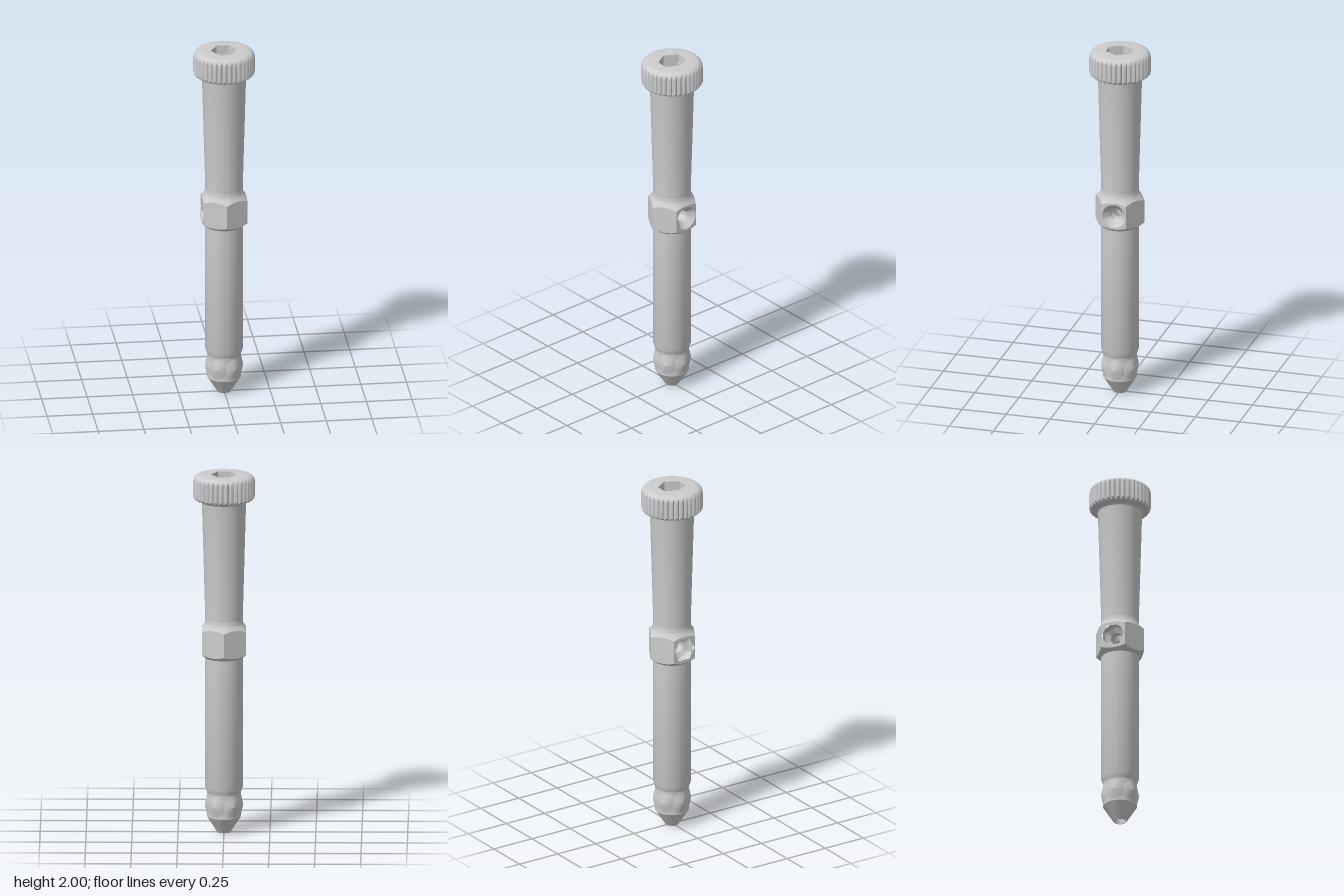
import * as THREE from 'three';
import { toCreasedNormals } from 'three/addons/utils/BufferGeometryUtils.js';

const N = 144; // samples around every ring
const BORE = 0.033, HOLE_Y = 1.07, TEETH = 36;
const APOTHEM = 0.12, COLLAR_HALF = 0.065, COLLAR_ARC = 0.012;

// Angle from the middle of the nearest of six flats
const fromFlat = (a, off) => {
  const s = Math.PI / 3;
  return a - off - Math.round((a - off) / s) * s;
};
// Polar radius of a hexagon whose first flat faces angle "off"
const hexRadius = (apothem, off = 0) => (a) => apothem / Math.cos(fromFlat(a, off));
const value = (v, a) => (typeof v === 'function' ? v(a) : v);

// Skin over rings [radius, height]; each may be a function of the angle.
// Rings running upward face outward, rings running downward face inward.
function loft(rings, crease = 0.45) {
  const pos = [], index = [];
  for (const [r, y] of rings) {
    for (let j = 0; j < N; j++) {
      const a = (j / N) * Math.PI * 2, rad = value(r, a);
      pos.push(rad * Math.sin(a), value(y, a), rad * Math.cos(a));
    }
  }
  for (let i = 0; i < rings.length - 1; i++) {
    for (let j = 0; j < N; j++) {
      const k = (j + 1) % N;
      const a = i * N + j, b = i * N + k, c = a + N, d = b + N;
      index.push(a, b, c, b, d, c);
    }
  }
  const g = new THREE.BufferGeometry();
  g.setAttribute('position', new THREE.Float32BufferAttribute(pos, 3));
  g.setIndex(index);
  return toCreasedNormals(g, crease);
}

export function createModel() {
  const model = new THREE.Group();
  const steel = new THREE.MeshStandardMaterial({ color: 0xcccccc });
  steel.name = 'light grey steel';
  const add = (name, geometry, parent = model) => {
    const mesh = new THREE.Mesh(geometry, steel);
    mesh.name = name;
    parent.add(mesh);
    return mesh;
  };

  // Tapered tip
  add('tip', loft([[BORE, 0], [0.036, 0], [0.092, 0.088]]));

  // Neck with six pointed detents
  const neck = [];
  for (let i = 0; i <= 24; i++) {
    const y = 0.088 + (i / 24) * 0.134;
    neck.push([(a) => {
      const d = Math.hypot(fromFlat(a, Math.PI / 6) * 0.095, y - 0.155);
      return 0.092 + 0.013 * Math.max(0, 1 - d / 0.057);
    }, y]);
  }
  add('detentNeck', loft(neck, 0.14));

  // Lower shaft
  add('lowerShaft', loft([[0.092, 0.222], [0.096, 0.235], [0.103, 0.255], [0.103, 0.978]]));

  // Hexagonal collar: arched side faces blending into the shafts
  const collar = new THREE.Group();
  collar.name = 'hexCollar';
  model.add(collar);
  const collarHex = hexRadius(APOTHEM, Math.PI / 6);
  const halfWidth = APOTHEM / Math.sqrt(3);
  // half height of a side face at a fraction u of its half width
  const faceHalf = (u) => COLLAR_HALF + COLLAR_ARC * (1 - u * u);
  const edge = (a) => faceHalf(Math.tan(fromFlat(a, Math.PI / 6)) * Math.sqrt(3));
  add('collarUnderside', loft([[0.103, 0.978], [collarHex, (a) => HOLE_Y - edge(a)]], 0.8), collar);
  add('collarTop', loft([
    [collarHex, (a) => HOLE_Y + edge(a)], [0.108, 1.165], [0.104, 1.175], [0.102, 1.195],
  ], 0.8), collar);

  const sinkR = 0.066, nutHex = hexRadius(0.0572);
  for (let k = 0; k < 6; k++) {
    const angle = Math.PI / 6 + (k * Math.PI) / 3;
    const outline = [];
    for (const s of [-1, 1]) {
      for (let i = -6; i <= 6; i++) {
        const u = (-s * i) / 6;
        outline.push(new THREE.Vector2(u * halfWidth, s * faceHalf(u)));
      }
    }
    const face = new THREE.Shape(outline);
    if (k === 1 || k === 4) {
      const hole = [];
      for (let j = 0; j < N; j++) {
        const a = (j / N) * Math.PI * 2, r = k === 1 ? sinkR : nutHex(a);
        hole.push(new THREE.Vector2(r * Math.cos(a), r * Math.sin(a)));
      }
      // hexagon corners point up and down
      if (k === 4) hole.forEach((p) => p.set(p.y, p.x));
      face.holes.push(new THREE.Path(hole));
    }
    const m = add('collarFace', new THREE.ShapeGeometry(face), collar);
    m.position.set(APOTHEM * Math.sin(angle), HOLE_Y, APOTHEM * Math.cos(angle));
    m.rotation.y = angle;
  }

  // Cross hole: round countersink on one side, hexagonal pocket on the other
  const meet = (a) => BORE * Math.abs(Math.sin(a));
  const sink = add('countersink', loft([[sinkR, APOTHEM], [BORE, 0.085], [BORE, meet]]), collar);
  sink.rotation.z = -Math.PI / 2;
  const pocket = add('hexPocket', loft([[nutHex, APOTHEM], [nutHex, 0.075], [BORE, 0.06], [BORE, meet]]), collar);
  pocket.rotation.z = Math.PI / 2;
  sink.position.y = pocket.position.y = HOLE_Y;

  // Upper shaft flaring toward the head
  add('upperShaft', loft([
    [0.102, 1.195], [0.12, 1.835], [0.122, 1.848], [0.13, 1.856], [0.142, 1.86],
  ]));

  // Head: rounded profile cut by straight knurl grooves, with a flat top
  const tooth = (a) => {
    const p = Math.round((a / (Math.PI * 2)) * N) % (N / TEETH);
    return [0.1575, 0.1655, 0.168, 0.1655][p];
  };
  const knurl = (r) => (a) => Math.min(r, tooth(a));
  const socketHex = hexRadius(0.063);
  const notched = (a) => Math.max(socketHex(a),
    Math.min(0.034 / Math.max(1e-6, Math.abs(Math.sin(a))), 0.071 / Math.max(1e-6, Math.abs(Math.cos(a)))));
  add('knurledHead', loft([
    [0.142, 1.86], [knurl(0.152), 1.861], [knurl(0.16), 1.866], [knurl(0.168), 1.876],
    [knurl(0.168), 1.967], [knurl(0.165), 1.978], [knurl(0.159), 1.987],
    [0.15, 1.994], [0.14, 1.998], [0.125, 2], [notched, 2],
  ], 0.38));

  // Hexagonal socket with two shallow notches
  add('hexSocket', loft([
    [notched, 2], [notched, 1.95], [socketHex, 1.95], [socketHex, 1.88], [BORE, 1.84],
  ]));

  // Lengthwise bore, open where the cross hole passes
  add('upperBore', loft([[BORE, 1.84], [BORE, (a) => HOLE_Y + meet(a)]]));
  add('lowerBore', loft([[BORE, (a) => HOLE_Y - meet(a)], [BORE, 0]]));

  return model;
}
